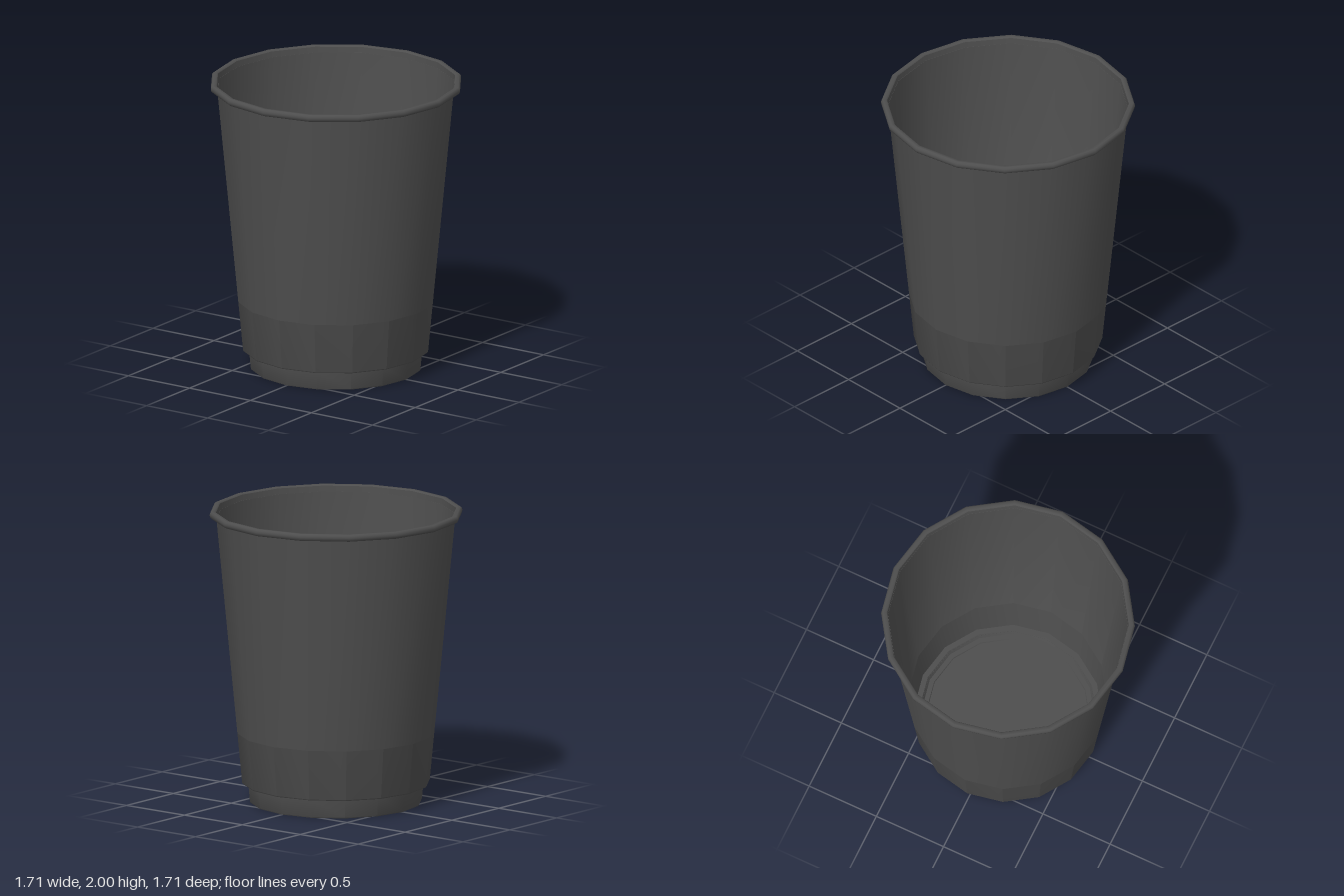
import * as THREE from 'three';
import { toCreasedNormals } from 'three/addons/utils/BufferGeometryUtils.js';

const SIDES = 16;

export function createModel() {
  const cup = new THREE.Group();
  cup.name = 'cup';
  const material = new THREE.MeshStandardMaterial({ color: 0x4e4e4e, side: THREE.DoubleSide });

  // Revolves an open [radius, height] profile; outside runs upward, inside downward
  function addRing(name, profile, crease = 0.6) {
    const points = profile.map(([r, y]) => new THREE.Vector2(r, y));
    const geometry = toCreasedNormals(new THREE.LatheGeometry(points, SIDES), crease);
    const mesh = new THREE.Mesh(geometry, material);
    mesh.name = name;
    cup.add(mesh);
  }

  // Tapered wall with the step above the foot
  addRing('outerWall', [[0.592, 0.13], [0.628, 0.13], [0.633, 0.137], [0.806, 1.953]]);
  addRing('innerWall', [[0.811, 1.992], [0.633, 0.14], [0.597, 0.14]]);

  // Rolled lip
  addRing('rim', [
    [0.806, 1.953], [0.84, 1.953], [0.85, 1.962], [0.853, 1.977],
    [0.85, 1.991], [0.84, 2], [0.818, 2], [0.811, 1.992],
  ], 0.9);

  // Narrow foot with a recess underneath
  addRing('foot', [[0.55, 0.085], [0.55, 0], [0.576, 0], [0.58, 0.006], [0.592, 0.13]]);
  addRing('footInside', [[0.597, 0.14], [0.582, 0.105], [0.55, 0.105], [0.546, 0.095]]);

  // Floor, seen from inside and from below
  addRing('floorTop', [[0.546, 0.095], [0, 0.095]]);
  addRing('floorUnderside', [[0, 0.085], [0.55, 0.085]]);

  return cup;
}
